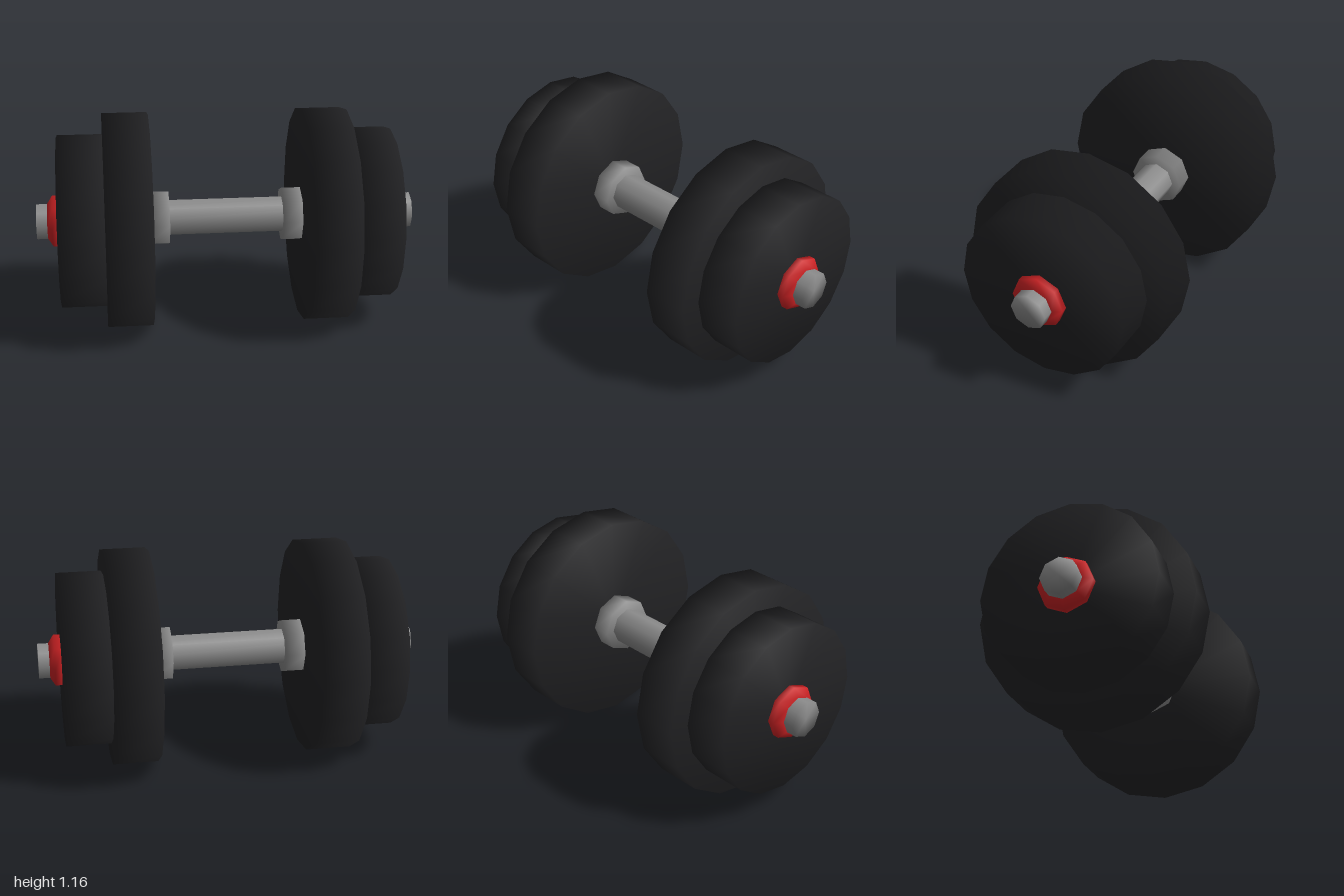
import * as THREE from 'three';

const rubber = new THREE.MeshStandardMaterial({ color: 0x222224 });
rubber.name = 'blackRubber';
const steel = new THREE.MeshStandardMaterial({ color: 0x8c8c8c });
steel.name = 'greySteel';
const red = new THREE.MeshStandardMaterial({ color: 0xcc2224 });
red.name = 'redClip';

// Solid turned around the x axis; profile is [radius, x] pairs with x rising
function turned(name, material, sides, profile) {
  const points = profile.map(([r, x]) => new THREE.Vector2(r, x));
  const geometry = new THREE.LatheGeometry(points, sides);
  geometry.rotateZ(-Math.PI / 2);
  const mesh = new THREE.Mesh(geometry, material);
  mesh.name = name;
  return mesh;
}

// Closed disc or rod from x0 to x1
const disc = (name, material, sides, r, x0, x1) =>
  turned(name, material, sides, [[0, x0], [r, x0], [r, x1], [0, x1]]);

// Everything mounted on one end of the bar
function weightEnd(name) {
  const end = new THREE.Group();
  end.name = name;
  end.add(
    disc('gripCollar', steel, 8, 0.15, 0.308, 0.415),
    disc('largePlate', rubber, 16, 0.58, 0.41, 0.655),
    disc('smallPlate', rubber, 16, 0.466, 0.65, 0.898),
    // Locking nut with a chamfered outer rim
    turned('lockingNut', red, 8, [[0, 0.89], [0.146, 0.89], [0.146, 0.932], [0.1, 0.96], [0, 0.96]]),
  );
  return end;
}

export function createModel() {
  const model = new THREE.Group();
  model.name = 'dumbbell';

  const leftEnd = weightEnd('leftWeights');
  const rightEnd = weightEnd('rightWeights');
  rightEnd.rotation.y = Math.PI;

  model.add(disc('bar', steel, 8, 0.1, -1.018, 1.018), leftEnd, rightEnd);

  // Rests on the large plates, turned diagonally
  const root = new THREE.Group();
  root.name = 'dumbbellRoot';
  model.rotation.y = THREE.MathUtils.degToRad(35);
  model.position.y = 0.58;
  root.add(model);
  return root;
}
